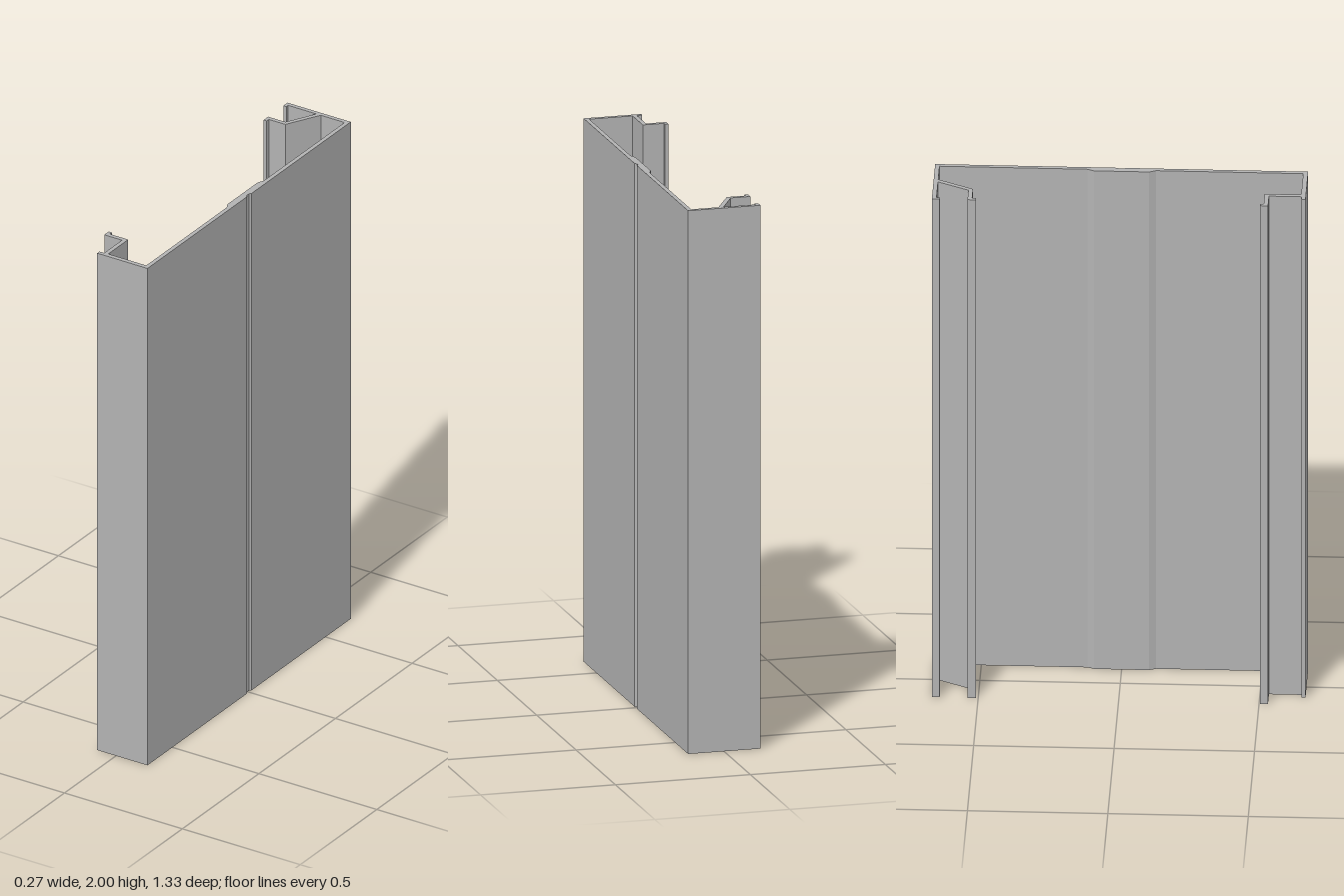
import * as THREE from 'three';

const HEIGHT = 2;

// Cross-section pieces as [x, z] points, walked in order around the outline
const outerFace = [
  [0.133, -0.665], [0.133, -0.016], [0.127, -0.009], [0.127, 0.006], [0.133, 0.013], [0.133, 0.663],
];
const frontFlangeOuter = [[-0.08, 0.663], [-0.08, 0.648], [-0.06, 0.648]];
const frontHook = [
  [-0.06, 0.532], [-0.135, 0.532], [-0.135, 0.503], [-0.122, 0.503],
  [-0.122, 0.516], [-0.044, 0.516], [-0.044, 0.646],
];
const innerFace = [
  [0.117, 0.646], [0.117, 0.122], [0.106, 0.098], [0.106, -0.098], [0.117, -0.122], [0.117, -0.649],
];
const backHook = [
  [0.016, -0.649], [-0.052, -0.522], [-0.122, -0.522], [-0.122, -0.508],
  [-0.135, -0.508], [-0.135, -0.538], [-0.062, -0.538], [-0.003, -0.649],
];
const backFlangeOuter = [[-0.122, -0.649], [-0.122, -0.637], [-0.135, -0.637], [-0.135, -0.665]];

export function createModel() {
  const group = new THREE.Group();
  group.name = 'channelProfile';

  const metal = new THREE.MeshStandardMaterial({ color: 0xb3b3b3 });
  metal.name = 'grey metal';

  const outline = [
    ...outerFace, ...frontFlangeOuter, ...frontHook, ...innerFace, ...backHook, ...backFlangeOuter,
  ].map(([x, z]) => new THREE.Vector2(x, -z));

  // One continuous section, extruded upward
  const geometry = new THREE.ExtrudeGeometry(new THREE.Shape(outline), {
    depth: HEIGHT, bevelEnabled: false,
  });
  geometry.rotateX(-Math.PI / 2);

  const panel = new THREE.Mesh(geometry, metal);
  panel.name = 'extrudedPanel';
  group.add(panel);
  return group;
}
